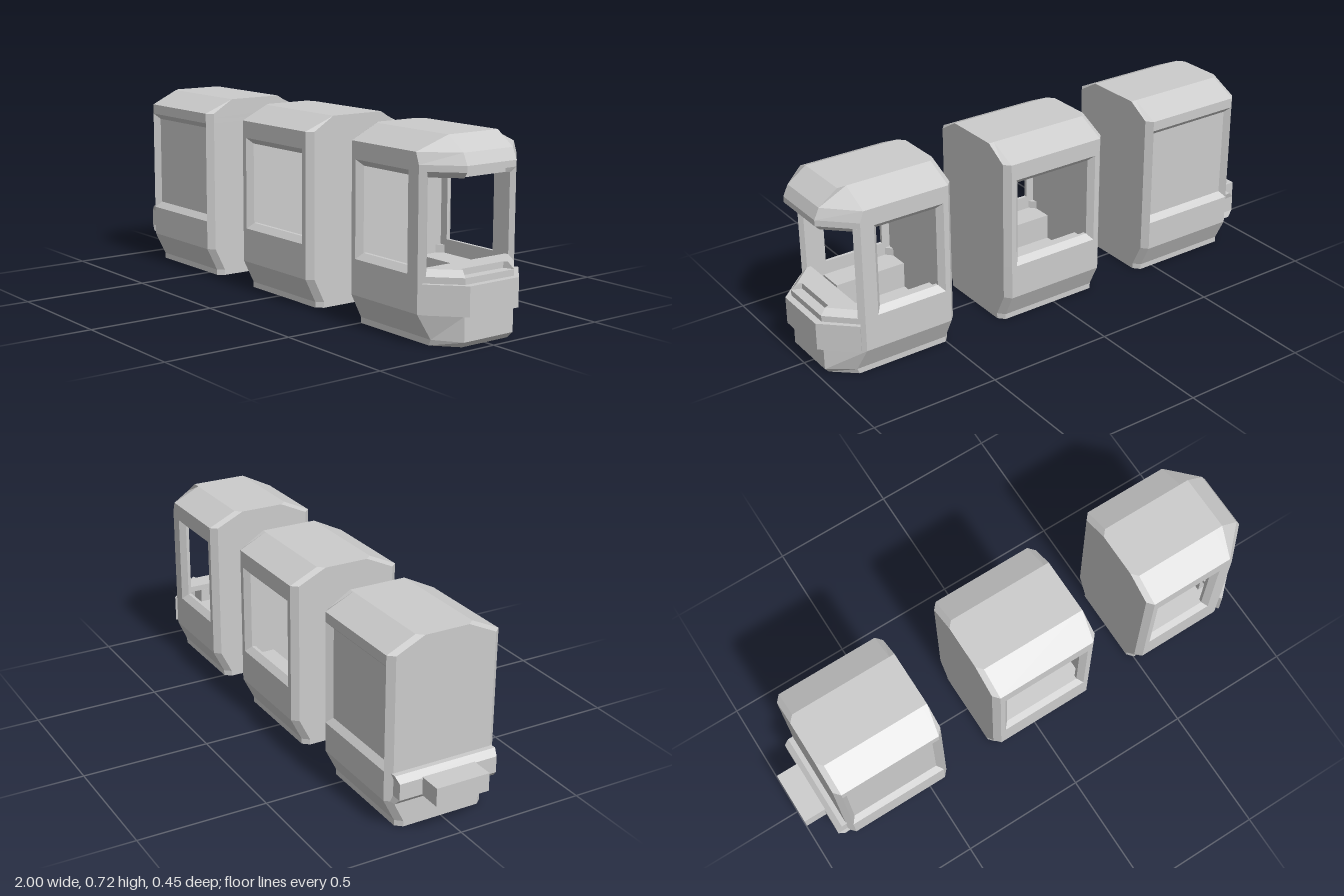
import * as THREE from 'three';

const material = new THREE.MeshStandardMaterial({ color: 0xcccccc, flatShading: true });

function addMesh(parent, name, geometry) {
  const mesh = new THREE.Mesh(geometry, material);
  mesh.name = name;
  parent.add(mesh);
  return mesh;
}

function box(parent, name, x0, x1, y0, y1, z0, z1) {
  const mesh = addMesh(parent, name, new THREE.BoxGeometry(x1 - x0, y1 - y0, z1 - z0));
  mesh.position.set((x0 + x1) / 2, (y0 + y1) / 2, (z0 + z1) / 2);
}

// Closed solid through horizontal outlines; layers = [[y, [[x, z], ...]], ...] from bottom to top
function loft(parent, name, layers) {
  const flat = (ring) => ring.map(([x, z]) => new THREE.Vector2(x, -z));
  const flip = THREE.ShapeUtils.area(flat(layers[0][1])) < 0;
  const rings = layers.map(([y, ring]) => ({ y, ring: flip ? [...ring].reverse() : ring }));
  const n = rings[0].ring.length;
  const position = [];
  const index = [];
  for (const { y, ring } of rings) for (const [x, z] of ring) position.push(x, y, z);
  for (let j = 0; j < rings.length - 1; j++) {
    for (let i = 0; i < n; i++) {
      const a = j * n + i;
      const b = j * n + (i + 1) % n;
      index.push(a, b, b + n, a, b + n, a + n);
    }
  }
  const last = (rings.length - 1) * n;
  for (const [a, b, c] of THREE.ShapeUtils.triangulateShape(flat(rings[0].ring), [])) index.push(a, c, b);
  for (const [a, b, c] of THREE.ShapeUtils.triangulateShape(flat(rings[rings.length - 1].ring), [])) {
    index.push(last + a, last + b, last + c);
  }
  const geometry = new THREE.BufferGeometry();
  geometry.setAttribute('position', new THREE.Float32BufferAttribute(position, 3));
  geometry.setIndex(index);
  const facets = geometry.toNonIndexed();
  facets.computeVertexNormals();
  addMesh(parent, name, facets);
}

// Upright wall band between an outer and an inner outline
function band(parent, name, outer, inner, y0, y1) {
  const toPoints = (ring) => ring.map(([x, z]) => new THREE.Vector2(x, -z));
  const shape = new THREE.Shape(toPoints(outer));
  shape.holes.push(new THREE.Path(toPoints(inner)));
  const geometry = new THREE.ExtrudeGeometry(shape, { depth: y1 - y0, bevelEnabled: false });
  geometry.rotateX(-Math.PI / 2).translate(0, y0, 0);
  addMesh(parent, name, geometry);
}

// Mirrors half an outline (z > 0) into a closed one
const mirrored = (half) => [...half, ...half.map(([x, z]) => [x, -z]).reverse()];

// Chamfered car outline; dx and zf set the front chamfer
const plan = (x0, x1, z, dx = 0.022, zf = z - 0.025) =>
  mirrored([[x0, z - 0.025], [x0 + 0.022, z], [x1 - dx, z], [x1, zf]]);

// End wall with chamfered corners and bevelled window edges; d = 1 rear, -1 front
function endWall(parent, x, xWindow, d, y0, y1) {
  const ring = mirrored([
    [x, 0.2], [x + d * 0.022, 0.225], [xWindow, 0.225],
    [xWindow + d * 0.02, 0.203], [xWindow + d * 0.02, 0.19], [x + d * 0.03, 0.19],
  ]);
  // the inner wall face closes the U shape
  loft(parent, 'endWall', [[y0, ring], [y1, ring]]);
}

// Sloped sill and lintel of the side windows
function windowLedges(parent, xa, xb, y0, y1) {
  for (const s of [1, -1]) {
    const strip = (z) => [[xa, s * z], [xb, s * z], [xb, s * 0.19], [xa, s * 0.19]];
    loft(parent, 'windowSill', [[y0, strip(0.225)], [y0 + 0.023, strip(0.203)]]);
    loft(parent, 'windowLintel', [[y1 - 0.022, strip(0.203)], [y1, strip(0.225)]]);
  }
}

function benches(parent, x0, x1) {
  for (const s of [1, -1]) {
    box(parent, 'bench', x0, x1, 0.11, 0.215, Math.min(s * 0.09, s * 0.192), Math.max(s * 0.09, s * 0.192));
  }
}

// Straight car with two closed ends and a window on each side
function straightCar(name, x0, x1, xa, xb, y0, y1) {
  const car = new THREE.Group();
  car.name = name;
  const full = plan(x0, x1, 0.225);
  const inner = plan(x0 + 0.03, x1 - 0.03, 0.19);
  const ceiling = y1 + 0.023;
  const low = plan(x0, x1, 0.18);
  loft(car, 'undercarriage', [[0, low], [0.022, low], [0.113, full]]);
  band(car, 'lowerWalls', full, inner, 0.113, y0);
  endWall(car, x0, xa, 1, y0, y1);
  endWall(car, x1, xb, -1, y0, y1);
  windowLedges(car, xa, xb, y0, y1);
  band(car, 'upperWalls', full, inner, y1, ceiling);
  loft(car, 'roof', [[ceiling, full], [0.667, full], [0.72, plan(x0, x1, 0.113, 0.022, 0.113)]]);
  return car;
}

function rearCar() {
  const car = straightCar('rearCar', -0.87, -0.42, -0.848, -0.442, 0.228, 0.628);
  // closed side panels and coupling
  box(car, 'sidePanels', -0.84, -0.45, 0.11, 0.64, -0.203, 0.203);
  const plate = (x, z) => [[x, z], [-0.86, z], [-0.86, -z], [x, -z]];
  loft(car, 'couplingPlate', [
    [0.115, plate(-0.89, 0.207)], [0.138, plate(-0.912, 0.2)],
    [0.202, plate(-0.912, 0.2)], [0.225, plate(-0.89, 0.207)],
  ]);
  box(car, 'couplingBar', -1, -0.9, 0.135, 0.205, -0.108, 0.108);
  return car;
}

function middleCar() {
  const car = straightCar('middleCar', -0.2, 0.25, -0.157, 0.207, 0.245, 0.602);
  benches(car, -0.18, 0.23);
  return car;
}

function frontCar() {
  const car = new THREE.Group();
  car.name = 'frontCar';
  const x0 = 0.48;
  const [xa, xb, y0, y1] = [0.523, 0.807, 0.245, 0.602];
  const full = plan(x0, 0.975, 0.225, 0.115, 0.113);
  const inner = plan(x0 + 0.03, 0.94, 0.19, 0.09, 0.1);

  // lower hull
  loft(car, 'undercarriage', [
    [0, plan(x0, 0.955, 0.18, 0.085, 0.105)],
    [0.022, plan(x0, 0.975, 0.18, 0.095, 0.113)],
    [0.113, full],
  ]);
  band(car, 'lowerWalls', full, inner, 0.113, y0);
  endWall(car, x0, xa, 1, y0, y1);
  windowLedges(car, xa, xb, y0, y1);

  // slim pillars beside the windscreen opening
  for (const s of [1, -1]) {
    const pillar = [[0.807, 0.225], [0.86, 0.225], [0.88, 0.206], [0.866, 0.19], [0.787, 0.19], [0.787, 0.203]]
      .map(([x, z]) => [x, s * z]);
    loft(car, 'windscreenPillar', [[y0, pillar], [y1, pillar]]);
  }

  // windscreen sill and lintel wrapping the nose
  const noseStrip = (x, z, xs, zs) => mirrored([[0.85, 0.19], [xs, zs], [x, z], [0.937, 0.098]].reverse());
  const outer = noseStrip(0.975, 0.113, 0.86, 0.225);
  const inset = noseStrip(0.953, 0.105, 0.853, 0.203);
  loft(car, 'windscreenSill', [[y0, outer], [y0 + 0.023, inset]]);
  loft(car, 'windscreenLintel', [[y1 - 0.022, inset], [y1, outer]]);

  // roof sloping down over the nose
  band(car, 'upperWalls', full, inner, y1, 0.625);
  loft(car, 'roof', [
    [0.625, full],
    [0.667, plan(x0, 0.955, 0.225, 0.11, 0.113)],
    [0.72, plan(x0, 0.88, 0.113, 0.035, 0.113)],
  ]);

  // bumper, seats and control desk
  const bumper = mirrored([[0.937, 0.1], [0.86, 0.19], [0.882, 0.225], [1, 0.113]]);
  loft(car, 'bumper', [[0.115, bumper], [0.222, bumper]]);
  benches(car, 0.5, 0.8);
  box(car, 'controlDesk', 0.86, 0.945, 0.11, 0.24, -0.11, 0.11);
  return car;
}

export function createModel() {
  const model = new THREE.Group();
  model.name = 'cabinTrain';
  model.add(rearCar(), middleCar(), frontCar());
  return model;
}
